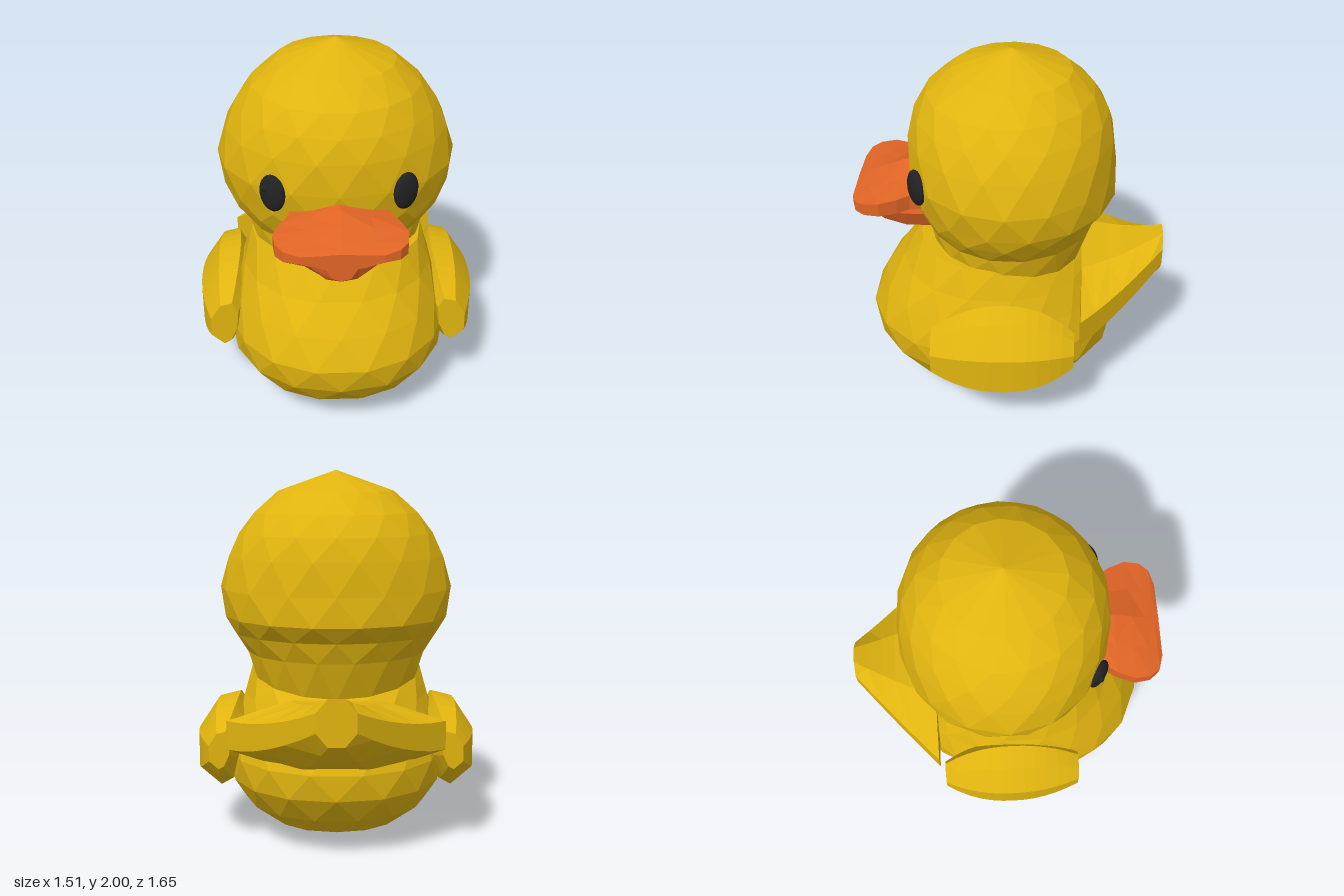
import * as THREE from 'three';

const yellow = new THREE.MeshStandardMaterial({ color: 0xe0b40f });
yellow.name = 'yellow';
const orange = new THREE.MeshStandardMaterial({ color: 0xe06425 });
orange.name = 'orange';
const black = new THREE.MeshStandardMaterial({ color: 0x222222 });
black.name = 'black';

// Faceted skin over cross-sections, closed by a fan at each end.
// Each section runs counterclockwise as seen from the far end of the loft.
function loft(rings, startTip, endTip) {
  const pos = [];
  const tri = (...pts) => pts.forEach((p) => pos.push(...p));
  const centre = (r) => [0, 1, 2].map((k) => r.reduce((s, p) => s + p[k], 0) / r.length);
  const n = rings[0].length;
  const first = rings[0], last = rings[rings.length - 1];
  const start = startTip ?? centre(first), end = endTip ?? centre(last);
  for (let j = 0; j < n; j++) {
    const k = (j + 1) % n;
    tri(start, first[k], first[j]);
    tri(end, last[j], last[k]);
    for (let i = 0; i < rings.length - 1; i++) {
      const a = rings[i][j], b = rings[i][k], c = rings[i + 1][k], d = rings[i + 1][j];
      if (i % 2) { tri(a, b, c); tri(a, c, d); } else { tri(a, b, d); tri(b, c, d); }
    }
  }
  const g = new THREE.BufferGeometry();
  g.setAttribute('position', new THREE.Float32BufferAttribute(pos, 3));
  g.computeVertexNormals();
  return g;
}

// Rounded rings [y, half width, front z, back z, drop at the back], each
// turned by half a step against the one below it.
function roundRings(rows, power) {
  const n = 16;
  const soft = (v) => Math.sign(v) * Math.abs(v) ** power;
  return rows.map(([y, w, front, back, drop = 0], i) =>
    Array.from({ length: n }, (_, j) => {
      const a = ((j + (i % 2) / 2) / n) * Math.PI * 2;
      const z = (front + back) / 2 + ((front - back) / 2) * soft(Math.cos(a));
      return [w * soft(Math.sin(a)), y - drop * Math.max(0, (0.05 - z) / 0.43), z];
    }));
}

const mirrorRings = (rings) => rings.map((r) => r.map(([x, y, z]) => [-x, y, z]).reverse());

export function createModel() {
  const model = new THREE.Group();
  const add = (name, geometry, material) => {
    const m = new THREE.Mesh(geometry, material);
    m.name = name;
    model.add(m);
    return m;
  };

  // Body, with a sloping top edge behind the neck
  add('body', loft(roundRings([
    [0.10, 0.38, 0.53, -0.35],
    [0.20, 0.51, 0.66, -0.47],
    [0.34, 0.59, 0.76, -0.57],
    [0.48, 0.60, 0.785, -0.585],
    [0.64, 0.56, 0.71, -0.51],
    [0.79, 0.51, 0.60, -0.43],
    [0.945, 0.46, 0.50, -0.38, 0.11],
  ], 0.92), [0, 0, 0.1], [0, 0.93, 0.05]), yellow);

  // Head and neck
  add('head', loft(roundRings([
    [0.93, 0.455, 0.43, -0.38, 0.11],
    [1.03, 0.48, 0.45, -0.45],
    [1.14, 0.56, 0.50, -0.49],
    [1.23, 0.60, 0.53, -0.56],
    [1.38, 0.625, 0.55, -0.55],
    [1.55, 0.58, 0.54, -0.535],
    [1.67, 0.52, 0.505, -0.50],
    [1.78, 0.44, 0.44, -0.43],
    [1.89, 0.31, 0.31, -0.31],
  ], 1), [0, 0.9, 0], [0, 2, 0]), yellow);

  // Wings: one section swelling towards the middle
  const wingSection = [
    [0.145, -0.16], [0.145, 0.05], [0.04, 0.21], [-0.08, 0.24],
    [-0.14, 0.13], [-0.12, -0.08], [-0.05, -0.23], [0.02, -0.27],
  ];
  const wingSteps = 12;
  const wing = Array.from({ length: wingSteps + 1 }, (_, i) => {
    const t = i / wingSteps;
    const tip = 0.4 + 0.12 * t;
    const s = tip + (1 - tip) * (1 - Math.abs(2 * t - 1) ** 2.2);
    const cy = 0.56 - 0.03 * t;
    return wingSection.map(([x, y]) => [0.61 + x * s, cy + y * s, -0.36 + 0.75 * t]);
  });
  add('leftWing', loft(wing), yellow);
  add('rightWing', loft(mirrorRings(wing)), yellow);

  // Tail: wide octagon tapering backwards and curving up
  const tailSteps = 6;
  const tail = Array.from({ length: tailSteps + 1 }, (_, i) => {
    const t = 1 - i / tailSteps;
    const w = 0.57 + (0.1 - 0.57) * t;
    const low = 0.46 + 0.24 * t ** 1.6, high = 0.83 + 0.11 * t ** 2;
    return Array.from({ length: 8 }, (_, j) => {
      const a = ((j + 0.5) / 8) * Math.PI * 2, k = Math.cos(Math.PI / 8);
      return [(w * Math.cos(a)) / k,
        (low + high) / 2 + (((high - low) / 2) * Math.sin(a)) / k, -0.39 - 0.44 * t];
    });
  });
  add('tail', loft(tail), yellow);

  // Upper beak: rows of [z, half width, ridge height, edge height]
  const upper = [
    [0.35, 0.24, 1.36, 1.27], [0.52, 0.255, 1.35, 1.27], [0.58, 0.295, 1.335, 1.265],
    [0.67, 0.33, 1.30, 1.26], [0.75, 0.32, 1.265, 1.25], [0.80, 0.28, 1.245, 1.24],
    [0.825, 0.20, 1.235, 1.225],
  ].map(([z, w, top, edge]) => {
    const mid = edge + (top - edge) * 0.4;
    return [
      [w, 1.185], [w, edge], [w / 2, mid], [0, top], [-w / 2, mid],
      [-w, edge], [-w, 1.185], [-w / 2, 1.155], [0, 1.14], [w / 2, 1.155],
    ].map(([x, y]) => [x, y, z]);
  });
  add('upperBeak', loft(upper), orange);

  // Lower beak: rows of [z, half width, bottom height]
  const lower = [
    [0.35, 0.24, 0.975], [0.55, 0.245, 0.975], [0.67, 0.225, 1.0],
    [0.75, 0.17, 1.03], [0.785, 0.10, 1.055],
  ].map(([z, w, low]) => [
    [w, 1.15], [0, 1.12], [-w, 1.15], [-w * 0.82, low + 0.075], [-w * 0.45, low + 0.015],
    [0, low], [w * 0.45, low + 0.015], [w * 0.82, low + 0.075],
  ].map(([x, y]) => [x, y, z]));
  add('lowerBeak', loft(lower), orange);

  // Eyes: flattened domes with a small raised pupil
  for (const side of [1, -1]) {
    const eye = add(side > 0 ? 'leftEye' : 'rightEye', new THREE.SphereGeometry(1, 20, 14), black);
    eye.scale.set(0.075, 0.1, 0.035);
    eye.position.set(side * 0.33, 1.37, 0.465);
    eye.rotation.y = side * 0.62;
    const pupil = add(side > 0 ? 'leftPupil' : 'rightPupil', new THREE.SphereGeometry(0.022, 12, 8), black);
    pupil.position.set(side * 0.335 - 0.03, 1.4, 0.478 + side * 0.012);
  }
  return model;
}
